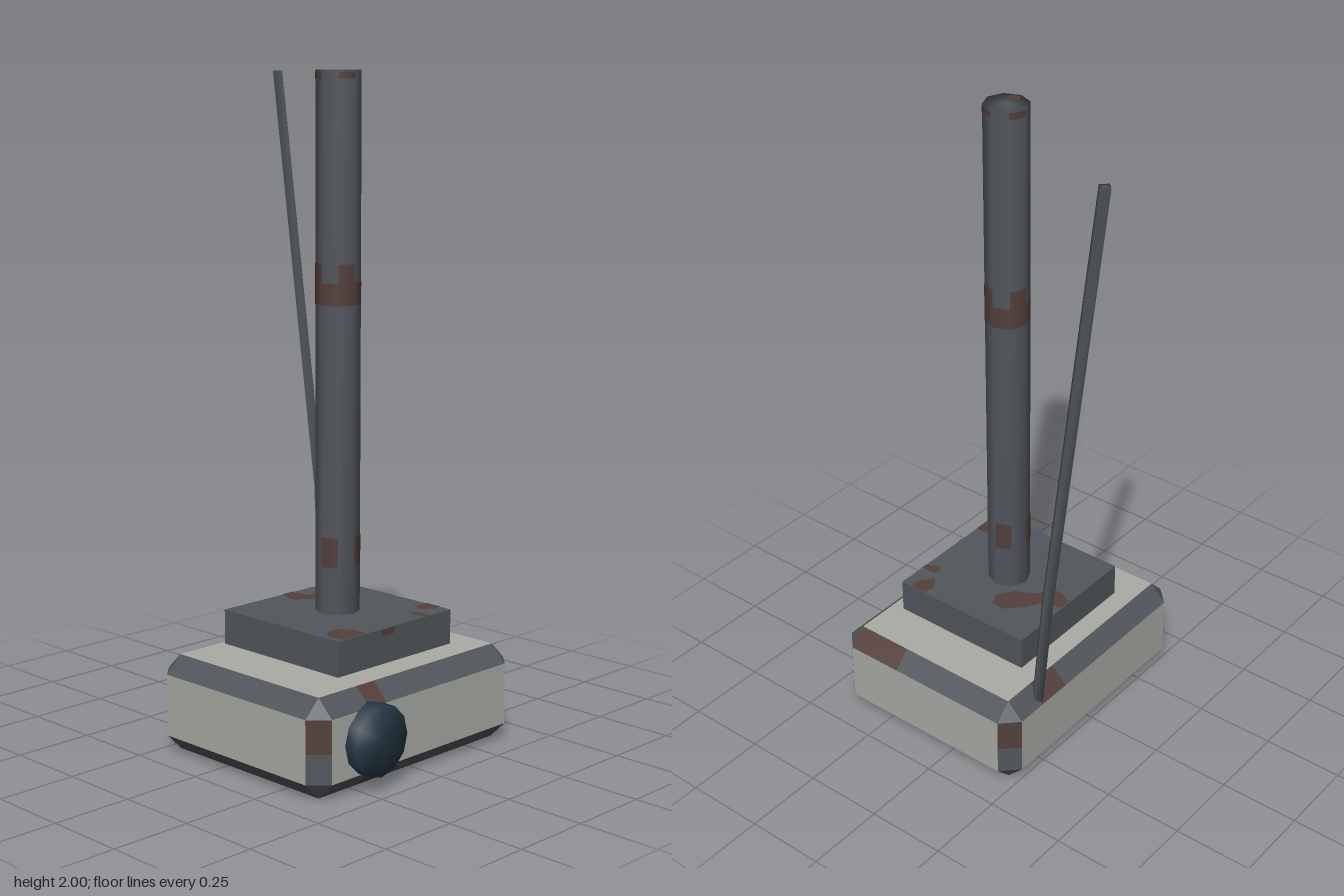
import * as THREE from 'three';
import { mergeVertices } from 'three/addons/utils/BufferGeometryUtils.js';

const material = (name, color, side = THREE.FrontSide) => {
  const m = new THREE.MeshStandardMaterial({ color, side });
  m.name = name;
  return m;
};

// Rounded shading across every edge, caps included
function smooth(geometry) {
  geometry.deleteAttribute('uv');
  geometry.deleteAttribute('normal');
  const merged = mergeVertices(geometry, 1e-4);
  merged.computeVertexNormals();
  return merged;
}

// Flat faces from convex polygons, each turned to face away from the origin
function facesGeometry(polygons) {
  const points = [];
  for (const poly of polygons) {
    const normal = poly[1].clone().sub(poly[0]).cross(poly[2].clone().sub(poly[0]));
    const p = normal.dot(poly[0]) < 0 ? [...poly].reverse() : poly;
    for (let i = 1; i < p.length - 1; i++) points.push(p[0], p[i], p[i + 1]);
  }
  const g = new THREE.BufferGeometry().setFromPoints(points);
  g.computeVertexNormals();
  return g;
}

export function createModel() {
  const pale = material('pale panel', 0xa9aba4);
  const steel = material('dark steel', 0x52565b);
  const glass = material('dark blue', 0x263845);
  const rust = material('rust', 0x54403c);

  const model = new THREE.Group();
  model.name = 'antennaUnit';
  const add = (name, geometry, mat, x = 0, y = 0, z = 0, parent = model) => {
    const mesh = new THREE.Mesh(geometry, mat);
    mesh.name = name;
    mesh.position.set(x, y, z);
    parent.add(mesh);
    return mesh;
  };

  // Chamfered housing: pale panels, steel bevels, rusty stretches of bevel
  const centre = [0, 0.146, 0.081], half = [0.422, 0.146, 0.343], bevel = 0.052;
  const corner = (axis, s) => new THREE.Vector3(
    ...half.map((h, i) => s[i] * (i === axis ? h : h - bevel)));
  const rustRanges = { // run axis, then the signs of the next two axes
    '0,1,1': [-0.22, -0.15], '0,-1,1': [-0.22, -0.15],
    '0,1,-1': [0.155, 0.262], '0,-1,-1': [0.155, 0.262],
    '2,1,1': [0.19, 0.372], '2,1,-1': [0.19, 0.372],
    '1,1,-1': [0.14, 0.24], '1,-1,1': [0.14, 0.24],
  };
  const panels = [], bevels = [], rusty = [];
  for (let k = 0; k < 3; k++) {
    const i = (k + 1) % 3, j = (k + 2) % 3;
    for (const side of [-1, 1]) {
      panels.push([[-1, -1], [1, -1], [1, 1], [-1, 1]].map(([a, b]) => {
        const s = [];
        s[k] = side; s[i] = a; s[j] = b;
        return corner(k, s);
      }));
    }
    for (const si of [-1, 1]) for (const sj of [-1, 1]) {
      const end = half[k] - bevel;
      const strip = (from, to) => [[i, from], [i, to], [j, to], [j, from]].map(([axis, t]) => {
        const s = [];
        s[k] = 1; s[i] = si; s[j] = sj;
        return corner(axis, s).setComponent(k, t);
      });
      const range = rustRanges[`${k},${si},${sj}`];
      if (!range) { bevels.push(strip(-end, end)); continue; }
      const [lo, hi] = range.map(v => Math.min(end, v - centre[k]));
      bevels.push(strip(-end, lo));
      if (hi < end) bevels.push(strip(hi, end));
      rusty.push(strip(lo, hi));
    }
  }
  for (const x of [-1, 1]) for (const y of [-1, 1]) for (const z of [-1, 1])
    bevels.push([0, 1, 2].map(axis => corner(axis, [x, y, z])));

  const housing = new THREE.Group();
  housing.name = 'housing';
  housing.position.set(...centre);
  model.add(housing);
  add('housingPanels', facesGeometry(panels), pale, 0, 0, 0, housing);
  add('housingBevels', facesGeometry(bevels), steel, 0, 0, 0, housing);
  add('housingRust', facesGeometry(rusty), rust, 0, 0, 0, housing);

  // Round lens on the front
  const lens = new THREE.CylinderGeometry(0.105, 0.105, 0.09, 12).rotateX(Math.PI / 2);
  add('frontLens', smooth(lens), glass, -0.213, 0.15, 0.42);

  // Square plinth and its rust patches
  const plinthTop = 0.413;
  add('plinth', new THREE.BoxGeometry(0.478, 0.105, 0.475), steel, 0, plinthTop - 0.0525, 0.081);
  const patches = [
    [[-0.22, 0.318], [-0.225, 0.26], [-0.19, 0.232], [-0.15, 0.235], [-0.125, 0.27], [-0.125, 0.318]],
    [[0, -0.155], [0.04, -0.155], [0.05, -0.1], [0.11, -0.06], [0.155, -0.015], [0.15, 0.03],
      [0.11, 0.045], [0.06, 0.01], [0.03, -0.05], [-0.02, -0.08], [-0.02, -0.11]],
    [[0.238, 0.225], [0.2, 0.22], [0.165, 0.25], [0.21, 0.285], [0.238, 0.28]],
    [[0.12, 0.26], [0.145, 0.27], [0.145, 0.318], [0.125, 0.318], [0.11, 0.28]],
  ];
  for (const outline of patches) {
    const shape = new THREE.Shape(outline.map(([x, z]) => new THREE.Vector2(x, -z)));
    add('plinthRust', new THREE.ShapeGeometry(shape).rotateX(-Math.PI / 2), rust, 0, plinthTop + 0.002, 0);
  }
  add('plinthFrontRust', new THREE.BoxGeometry(0.05, 0.02, 0.004), rust, -0.035, 0.401, 0.318);

  // Eight-sided post with rust bands
  const postZ = 0.081, postR = 0.066;
  const post = new THREE.CylinderGeometry(postR, postR, 1.59, 8);
  add('post', smooth(post), steel, 0, 1.205, postZ);
  const band = (y0, y1, start, sides) => add('postRust',
    new THREE.CylinderGeometry(postR + 0.001, postR + 0.001, y1 - y0, sides, 1, true,
      start * Math.PI / 4, sides * Math.PI / 4), rust, 0, (y0 + y1) / 2, postZ);
  band(1.33, 1.395, 0, 8);
  for (let q = 0; q < 8; q += 2) {
    band(1.395, 1.45, q + 1, 1);
    band(0.555, 0.645, q, 1);
    band(1.975, 1.995, q + 1, 1);
  }
  const spot = new THREE.CircleGeometry(0.02, 8).rotateX(-Math.PI / 2);
  add('postTopRust', spot, rust, -0.037, 2.0005, postZ + 0.004);

  // Thin bent aerial: four-sided rod with its rings moved along the bend
  const path = [[0.264, 0.235, -0.238], [0.315, 0.69, -0.315], [0.262, 2, -0.444]];
  const rod = new THREE.CylinderGeometry(0.02, 0.02, 2, 4, 2);
  const pos = rod.attributes.position;
  for (let n = 0; n < pos.count; n++) {
    const [x, y, z] = path[Math.round(pos.getY(n)) + 1];
    pos.setXYZ(n, pos.getX(n) + x, y, pos.getZ(n) + z);
  }
  add('aerial', smooth(rod), steel);

  return model;
}
